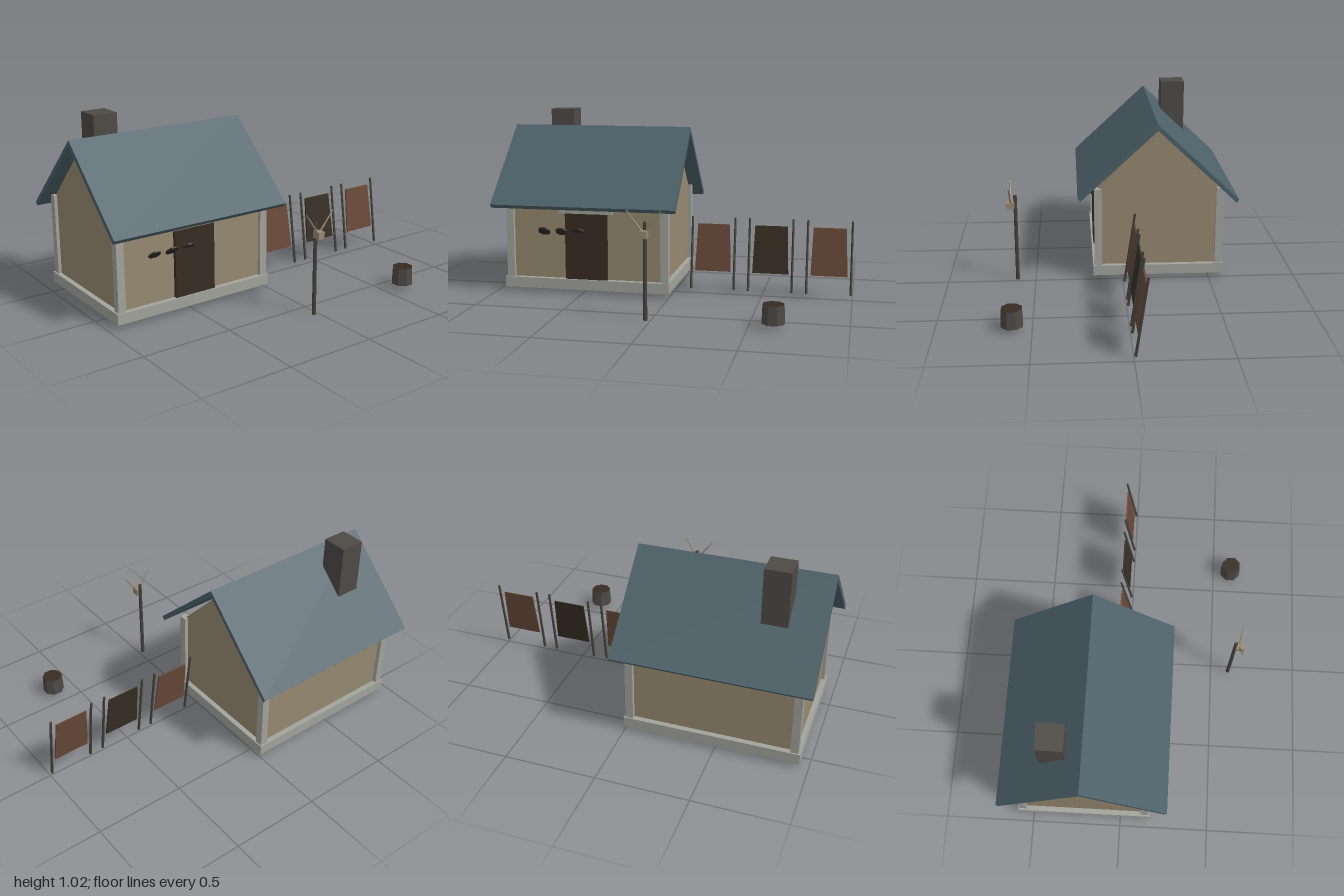
import * as THREE from 'three';

const mat = (name, color) => {
  const m = new THREE.MeshStandardMaterial({ color });
  m.name = name;
  m.flatShading = true;
  return m;
};

export function createModel() {
  const roofSlate = mat('roof slate', 0x4c6068);
  const plaster = mat('tan plaster', 0x968970);
  const stone = mat('pale stone', 0xa3a39d);
  const brick = mat('chimney grey', 0x4e4a46);
  const darkWood = mat('dark wood', 0x372c22);
  const poleWood = mat('pole wood', 0x45413d);
  const brownHide = mat('brown hide', 0x694a39);
  const darkHide = mat('dark hide', 0x372f24);
  const iron = mat('dark iron', 0x302c2a);

  const model = new THREE.Group();
  const add = (name, geometry, material, parent = model) => {
    const mesh = new THREE.Mesh(geometry, material);
    mesh.name = name;
    parent.add(mesh);
    return mesh;
  };
  // Box given by its limits on each axis
  const box = (name, [x0, x1], [y0, y1], [z0, z1], material, parent) => {
    const g = new THREE.BoxGeometry(x1 - x0, y1 - y0, z1 - z0);
    g.translate((x0 + x1) / 2, (y0 + y1) / 2, (z0 + z1) / 2);
    return add(name, g, material, parent);
  };
  // Side profile of [z, y] points, extruded from x0 to x1
  const profile = (name, points, x0, x1, material, parent) => {
    const shape = new THREE.Shape(points.map(([z, y]) => new THREE.Vector2(-z, y)));
    const g = new THREE.ExtrudeGeometry(shape, { depth: x1 - x0, bevelEnabled: false });
    g.rotateY(Math.PI / 2).translate(x0, 0, 0);
    return add(name, g, material, parent);
  };
  // Tapered rod between two points
  const rod = (name, from, to, r0, r1, material, parent, sides = 6) => {
    const a = new THREE.Vector3(...from), b = new THREE.Vector3(...to);
    const dir = b.clone().sub(a);
    const mesh = add(name, new THREE.CylinderGeometry(r1, r0, dir.length(), sides), material, parent);
    mesh.position.copy(a).add(b).multiplyScalar(0.5);
    mesh.quaternion.setFromUnitVectors(new THREE.Vector3(0, 1, 0), dir.normalize());
    return mesh;
  };

  // House
  const house = new THREE.Group();
  house.name = 'house';
  model.add(house);
  box('foundation', [-0.953, 0.003], [0.024, 0.083], [-0.587, 0.167], stone, house);
  profile('walls', [[0.137, 0.06], [0.137, 0.533], [-0.198, 0.887], [-0.557, 0.533], [-0.557, 0.06]],
    -0.925, -0.025, plaster, house);
  for (const x of [-0.943, -0.047])
    for (const z of [-0.579, 0.116])
      box('cornerPost', [x, x + 0.043], [0.07, 0.54], [z, z + 0.043], stone, house);
  profile('roof', [[0.254, 0.511], [-0.193, 0.927], [-0.656, 0.488], [-0.641, 0.47], [-0.195, 0.892], [0.238, 0.491]],
    -1, 0.055, roofSlate, house);
  box('chimney', [-0.811, -0.672], [0.6, 1.017], [-0.42, -0.278], brick, house);
  box('door', [-0.596, -0.353], [0.083, 0.462], [0.12, 0.157], darkWood, house);
  box('lintel', [-0.625, -0.322], [0.46, 0.492], [0.12, 0.167], stone, house);

  // Tilted discs hung beside the door
  for (const x of [-0.72, -0.617, -0.518]) {
    const disc = add('wallDisc', new THREE.CylinderGeometry(0.035, 0.035, 0.008, 8), iron, house);
    disc.rotation.set(-Math.PI / 4, Math.PI / 8, 0, 'XYZ');
    disc.position.set(x, 0.353, 0.154);
  }

  // Leaning racks with stretched hides
  [0.218, 0.544, 0.869].forEach((cx, i) => {
    const rack = new THREE.Group();
    rack.name = 'hideRack';
    rack.position.x = cx;
    model.add(rack);
    for (const s of [-1, 1])
      rod('rackPole', [s * 0.122, 0.024, -0.007], [s * 0.122, 0.43, -0.065], 0.0075, 0.0065, poleWood, rack);
    const shape = new THREE.Shape([[-0.101, 0.126], [0.101, 0.126], [0.091, 0.39], [-0.091, 0.39]]
      .map(p => new THREE.Vector2(...p)));
    const g = new THREE.ExtrudeGeometry(shape, { depth: 0.008, bevelEnabled: false });
    const p = g.attributes.position;
    for (let k = 0; k < p.count; k++)
      p.setZ(k, p.getZ(k) - 0.011 - (p.getY(k) - 0.024) * 0.143);
    g.computeVertexNormals();
    add('hide', g, i === 1 ? darkHide : brownHide, rack);
  });

  // Barrel with a dark lid and base
  const barrel = add('barrel', new THREE.CylinderGeometry(0.057, 0.061, 0.098, 8), [brick, darkWood, darkWood]);
  barrel.rotation.y = Math.PI / 8;
  barrel.position.set(0.625, 0.073, 0.603);

  // Post with a horned skull
  const totem = new THREE.Group();
  totem.name = 'skullPost';
  totem.position.set(-0.027, 0, 0.604);
  model.add(totem);
  rod('post', [0, 0, 0], [0, 0.51, 0], 0.011, 0.01, poleWood, totem);
  box('skull', [-0.019, 0.019], [0.432, 0.47], [0.004, 0.05], plaster, totem);
  for (const s of [-1, 1])
    rod('horn', [s * 0.01, 0.466, 0.024], [s * 0.088, 0.572, 0.031], 0.006, 0.003, plaster, totem, 5);

  return model;
}
